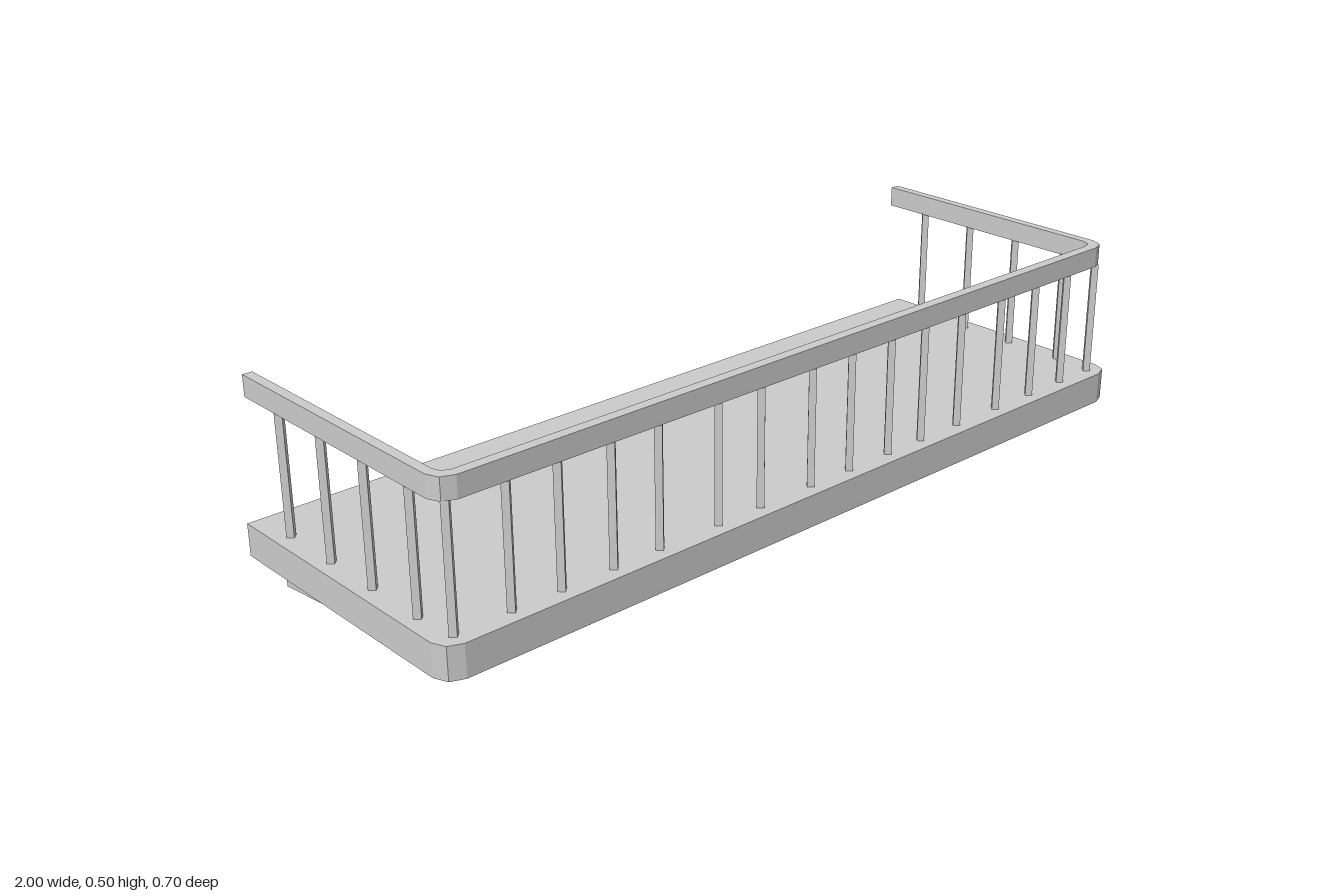
import * as THREE from 'three';

const BACK = -0.35;
const material = new THREE.MeshStandardMaterial({ color: 0xcccccc, flatShading: true });
const shellMaterial = new THREE.MeshStandardMaterial({ color: 0xcccccc, flatShading: true, side: THREE.DoubleSide });

// Plan outline (x, z) from the back right, round the two front corners, to the back left
function frontOutline(halfWidth, front, radius) {
  const points = [new THREE.Vector2(-halfWidth, BACK)];
  const cx = halfWidth - radius, cz = front - radius;
  for (const [x, start] of [[-cx, Math.PI], [cx, Math.PI / 2]]) {
    for (let i = 0; i <= 2; i++) {
      const a = start - i * Math.PI / 4;
      points.push(new THREE.Vector2(x + radius * Math.cos(a), cz + radius * Math.sin(a)));
    }
  }
  points.push(new THREE.Vector2(halfWidth, BACK));
  return points;
}

// Upright extrusion of a plan outline between two heights
function slab(points, bottom, top) {
  const geometry = new THREE.ExtrudeGeometry(new THREE.Shape(points), { depth: top - bottom, bevelEnabled: false });
  geometry.rotateX(Math.PI / 2).translate(0, top, 0);
  return new THREE.Mesh(geometry, material);
}

// Hollow support shell, open at the back and against the floor
function bracketGeometry(width) {
  const profile = [[0.1, BACK], [0, BACK], [0.05, 0.135], [0.1, 0.185]];
  const positions = [];
  for (const x of [width / 2, -width / 2]) for (const [y, z] of profile) positions.push(x, y, z);
  const index = [
    0, 2, 1, 0, 3, 2, // left side
    4, 5, 6, 4, 6, 7, // right side
    1, 2, 6, 1, 6, 5, // sloping underside
    2, 3, 7, 2, 7, 6, // front chamfer
  ];
  const geometry = new THREE.BufferGeometry();
  geometry.setAttribute('position', new THREE.Float32BufferAttribute(positions, 3));
  geometry.setIndex(index);
  const flat = geometry.toNonIndexed();
  flat.computeVertexNormals();
  return flat;
}

export function createModel() {
  const model = new THREE.Group();
  model.name = 'balcony';

  const floor = slab(frontOutline(1, 0.35, 0.045), 0.1, 0.175);
  floor.name = 'floor';
  model.add(floor);

  // Handrail: outer outline closed by the inner one
  const rail = slab([...frontOutline(0.975, 0.326, 0.04), ...frontOutline(0.952, 0.301, 0.025).reverse()], 0.451, 0.5);
  rail.name = 'handrail';
  model.add(rail);

  // Balusters: square rods turned on edge
  const balusters = new THREE.Group();
  balusters.name = 'balusters';
  const rod = new THREE.CylinderGeometry(0.0115, 0.0115, 0.282, 4, 1, true);
  const addRod = (x, z) => {
    const mesh = new THREE.Mesh(rod, material);
    mesh.name = 'baluster';
    mesh.position.set(x, 0.313, z);
    balusters.add(mesh);
  };
  const frontX = [-0.82, -0.7, -0.57, -0.45, -0.29, -0.17, -0.02, 0.1, 0.225, 0.335, 0.46, 0.6, 0.725, 0.845];
  frontX.forEach((x) => addRod(x, 0.3125));
  for (const side of [-1, 1]) {
    addRod(side * 0.953, 0.3125);
    for (const z of [0.2125, 0.0605, -0.0865, -0.238]) addRod(side * 0.963, z);
  }
  model.add(balusters);

  // Supports under the floor
  const bracket = bracketGeometry(0.097);
  for (const side of [-1, 1]) {
    const mesh = new THREE.Mesh(bracket, shellMaterial);
    mesh.name = side > 0 ? 'leftBracket' : 'rightBracket';
    mesh.position.x = side * 0.875;
    model.add(mesh);
  }
  return model;
}
